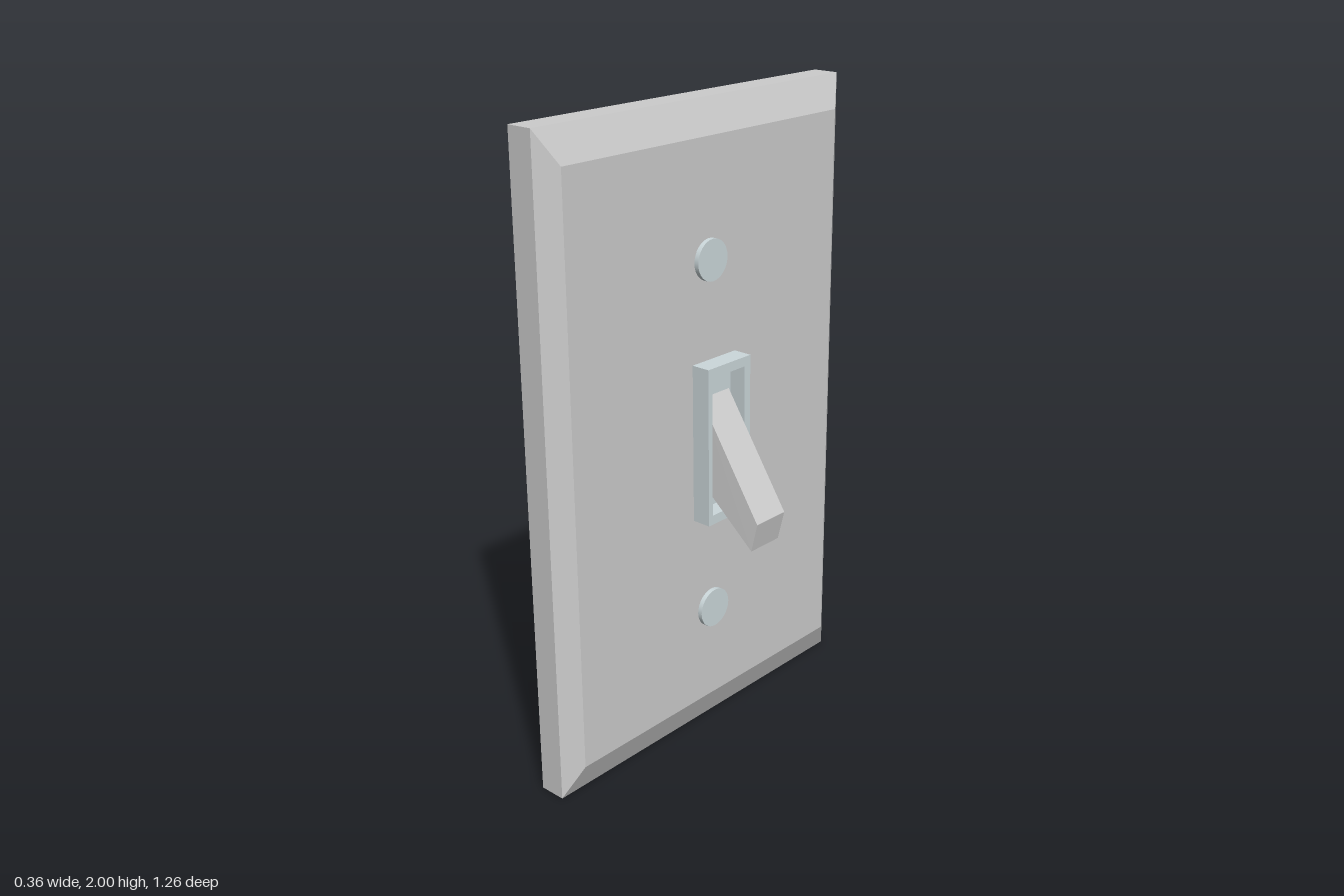
import * as THREE from 'three';

// Skin a solid through four-cornered sections. Corners run counter-clockwise seen from +x.
function loft(sections) {
  const pos = [];
  const quad = (a, b, c, d) => pos.push(...a, ...b, ...c, ...a, ...c, ...d);
  for (let s = 0; s < sections.length - 1; s++) {
    const p = sections[s], q = sections[s + 1];
    for (let i = 0; i < 4; i++) {
      const j = (i + 1) % 4;
      quad(p[i], p[j], q[j], q[i]);
    }
  }
  const first = sections[0], last = sections[sections.length - 1];
  quad(first[3], first[2], first[1], first[0]);
  quad(...last);
  const geo = new THREE.BufferGeometry();
  geo.setAttribute('position', new THREE.Float32BufferAttribute(pos, 3));
  geo.computeVertexNormals();
  return geo;
}

// Rectangular section, from lower left (+z) round to upper left
const rect = (x, y0, y1, z0, z1) => [[x, y0, z1], [x, y0, z0], [x, y1, z0], [x, y1, z1]];

export function createModel() {
  const group = new THREE.Group();
  const grey = new THREE.MeshStandardMaterial({ color: 0xcccccc, flatShading: true });
  const metal = new THREE.MeshStandardMaterial({ color: 0xccd8db, flatShading: true });
  const smoothMetal = new THREE.MeshStandardMaterial({ color: 0xccd8db });

  const add = (name, geo, mat) => {
    const mesh = new THREE.Mesh(geo, mat);
    mesh.name = name;
    group.add(mesh);
    return mesh;
  };

  // Wall plate with a bevelled face
  add('wallPlate', loft([
    rect(-0.18, 0, 2, -0.628, 0.628),
    rect(-0.095, 0, 2, -0.628, 0.628),
    rect(-0.052, 0.1, 1.9, -0.568, 0.568),
  ]), grey);

  // Raised frame around the toggle; shape x becomes -z after turning to face +x
  const outline = (Path, z0, z1, y0, y1) => new Path([
    [-z1, y0], [-z0, y0], [-z0, y1], [-z1, y1],
  ].map(([x, y]) => new THREE.Vector2(x, y)));
  const frame = outline(THREE.Shape, -0.104, 0.083, 0.74, 1.24);
  frame.holes.push(outline(THREE.Path, -0.078, 0.066, 0.77, 1.21));
  const frameGeo = new THREE.ExtrudeGeometry(frame, { depth: 0.062, bevelEnabled: false });
  frameGeo.rotateY(Math.PI / 2).translate(-0.052, 0, 0);
  add('toggleFrame', frameGeo, metal);

  // Floor of the frame
  add('frameFloor', new THREE.BoxGeometry(0.006, 0.46, 0.16).translate(-0.049, 0.99, -0.006), metal);

  // Tapered toggle lever, tilted down
  add('toggleLever', loft([
    [[-0.046, 0.875, 0.063], [-0.046, 0.875, -0.074], [-0.046, 1.13, -0.07], [-0.046, 1.13, 0.054]],
    [[0.157, 0.695, 0.058], [0.157, 0.695, -0.066], [0.175, 0.785, -0.073], [0.175, 0.785, 0.053]],
  ]), grey);

  // Screw heads above and below the toggle
  for (const [name, y, z] of [['upperScrew', 1.545, 0.009], ['lowerScrew', 0.415, 0.004]]) {
    const screw = add(name, new THREE.CylinderGeometry(0.063, 0.063, 0.02, 32), smoothMetal);
    screw.rotation.z = -Math.PI / 2;
    screw.position.set(-0.047, y, z);
  }

  return group;
}
